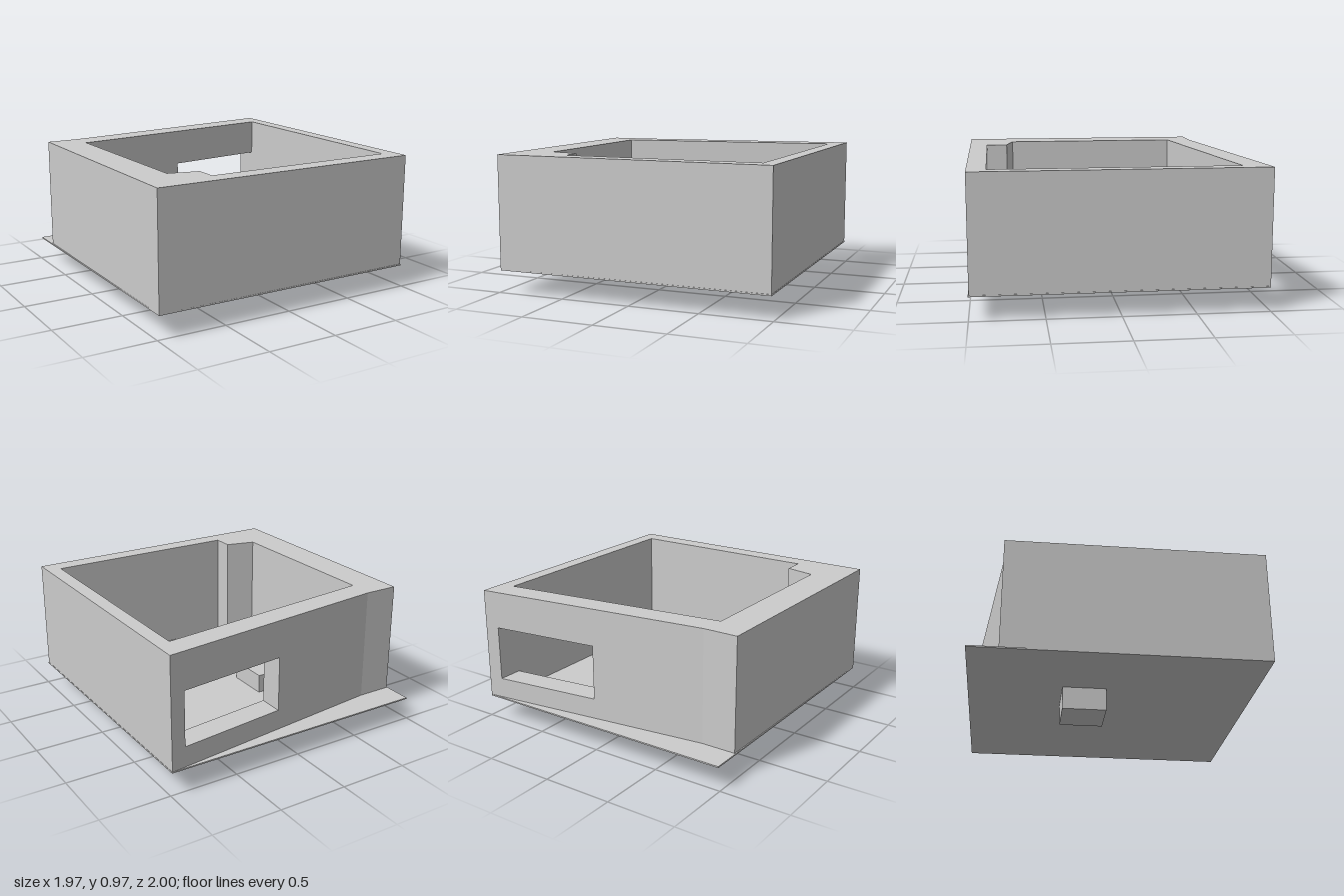
import * as THREE from 'three';

const material = new THREE.MeshStandardMaterial({ color: 0xcccccc });

// Upright prism over a plan outline of [x, z] points, from y0 to y1
function prism(name, plan, y0, y1) {
  const shape = new THREE.Shape(plan.map(([x, z]) => new THREE.Vector2(x, -z)));
  const geometry = new THREE.ExtrudeGeometry(shape, { depth: y1 - y0, bevelEnabled: false });
  geometry.rotateX(-Math.PI / 2).translate(0, y0, 0);
  const mesh = new THREE.Mesh(geometry, material);
  mesh.name = name;
  return mesh;
}

const rectangle = (x0, x1, z0, z1) => [[x0, z0], [x1, z0], [x1, z1], [x0, z1]];

export function createModel() {
  const model = new THREE.Group();
  model.name = 'room';

  const floorTop = 0.17, wallTop = 0.97;
  const sillY = 0.315, lintelY = 0.705;

  // Window span in the slanted back wall: [x, z] corners of each jamb
  const leftOuter = [0.88, -0.988], leftInner = [0.88, -0.81];
  const rightOuter = [0.095, -0.891], rightInner = [0.095, -0.713];

  // Thin rectangular floor
  model.add(prism('floor', rectangle(-0.985, 0.985, -1, 1), 0.16, floorTop));

  // Full-height walls, running around from one window jamb to the other
  model.add(prism('walls', [
    leftOuter, [0.983, -1], [0.983, 0.995], [-0.985, 1],
    [-0.977, -0.79], [-0.73, -0.79], rightOuter, rightInner,
    [-0.745, -0.61], [-0.74, 0.665], [-0.525, 0.715], [-0.525, 0.868],
    [0.88, 0.865], leftInner,
  ], floorTop, wallTop));

  // Back wall below and above the window
  const windowPlan = [leftOuter, leftInner, rightInner, rightOuter];
  model.add(prism('windowSill', windowPlan, floorTop, sillY));
  model.add(prism('windowLintel', windowPlan, lintelY, wallTop));

  // Cube set through the floor
  model.add(prism('floorCube', rectangle(-0.427, -0.122, -0.347, -0.042), 0, 0.305));

  return model;
}
